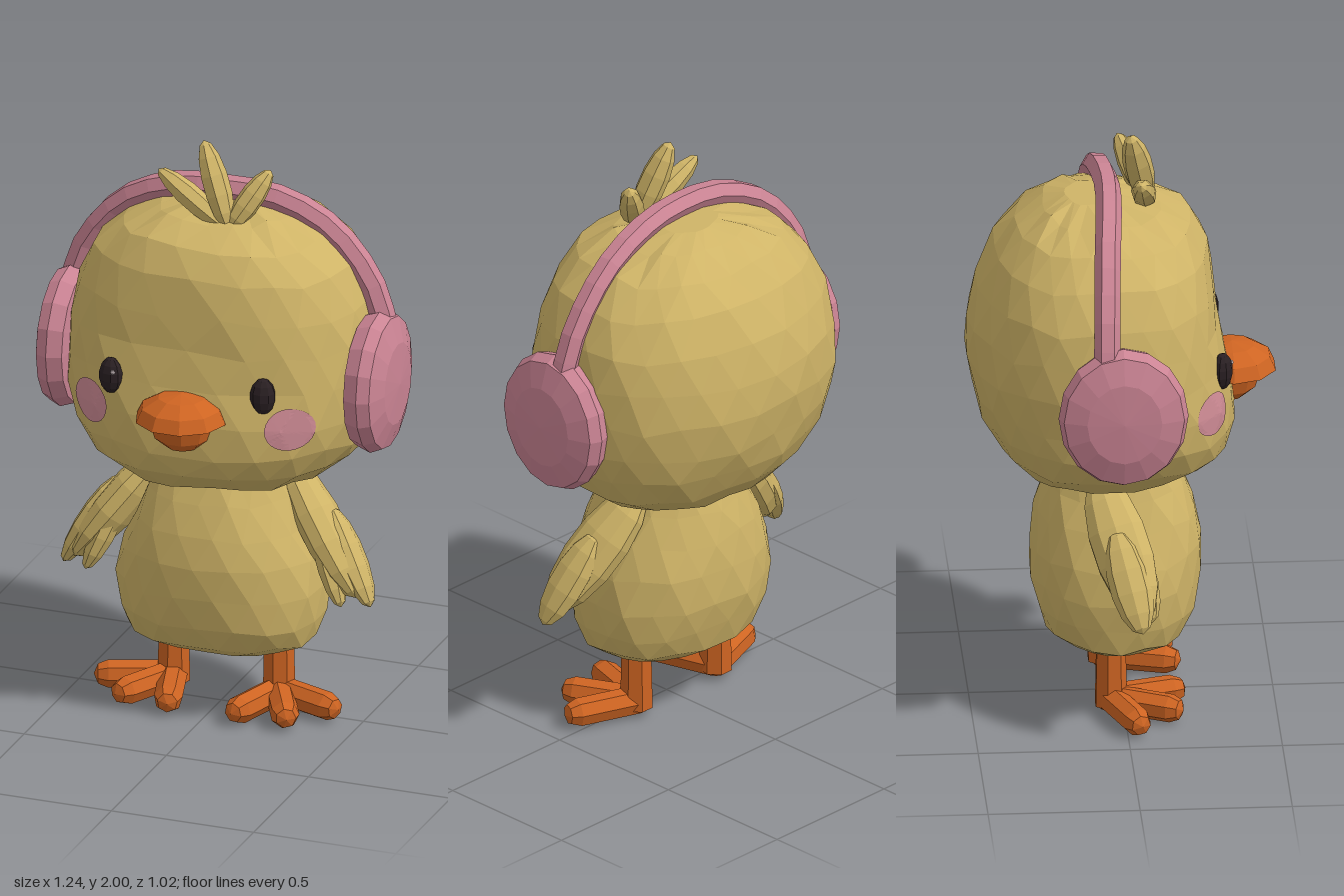
import * as THREE from 'three';

const mat = (name, color) => {
  const m = new THREE.MeshStandardMaterial({ color });
  m.name = name;
  return m;
};

// repeatable noise in -1..1 for the hand-cut facets
const noise = (n) => {
  const s = Math.sin(n * 127.1 + 11.7) * 43758.5453;
  return (s - Math.floor(s)) * 2 - 1;
};

// gives every triangle its own normal
const faceted = (geo) => {
  const g = geo.index ? geo.toNonIndexed() : geo;
  g.computeVertexNormals();
  return g;
};

// rounded body from rings [y, halfWidth, zFront, zBack], with squarer or rounder front and back
function loft(rings, sides, zMid, frontPower, backPower, rough) {
  const pos = [], idx = [];
  rings.forEach(([y, w, zf, zb], i) => {
    for (let j = 0; j < sides; j++) {
      const a = ((j + (i % 2) * 0.5) / sides) * Math.PI * 2;
      const s = Math.sin(a), c = Math.cos(a);
      const e = 2 / (c > 0 ? frontPower : backPower);
      const mid = Math.min(Math.max(zMid, zb * 0.8), zf);
      const depth = c > 0 ? zf - mid : mid - zb;
      const k = i * sides + j;
      const inner = i > 0 && i < rings.length - 1 ? 1 : 0;
      pos.push(
        w * Math.sign(s) * Math.abs(s) ** e + noise(k) * rough,
        y + noise(k + 500) * rough * 2 * inner,
        mid + depth * Math.sign(c) * Math.abs(c) ** e + noise(k + 900) * rough
      );
    }
  });
  for (let i = 0; i < rings.length - 1; i++) {
    for (let j = 0; j < sides; j++) {
      const a = i * sides + j, b = i * sides + (j + 1) % sides;
      const c = a + sides, d = b + sides;
      if (i % 2) idx.push(a, b, d, a, d, c);
      else idx.push(a, b, c, b, d, c);
    }
  }
  // end caps
  const last = (rings.length - 1) * sides, bottom = pos.length / 3;
  for (const r of [rings[0], rings[rings.length - 1]]) pos.push(0, r[0], (r[2] + r[3]) / 2);
  for (let j = 0; j < sides; j++) {
    const n = (j + 1) % sides;
    idx.push(bottom, n, j, bottom + 1, last + j, last + n);
  }
  const g = new THREE.BufferGeometry();
  g.setAttribute('position', new THREE.Float32BufferAttribute(pos, 3));
  g.setIndex(idx);
  return faceted(g);
}

export function createModel() {
  const root = new THREE.Group();
  root.name = 'chick';
  const yellow = mat('yellow down', 0xcfb467);
  const pink = mat('pink muffs', 0xcb8494);
  const orange = mat('orange beak and feet', 0xce6422);
  const dark = mat('dark eyes', 0x2a2023);
  const blush = mat('cheek blush', 0xd08c96);
  const white = mat('eye glint', 0xe8d8dc);

  const add = (name, geo, material, parent = root) => {
    const m = new THREE.Mesh(geo, material);
    m.name = name;
    parent.add(m);
    return m;
  };

  // geometry built along y, laid between two points
  const span = (geo, a, b) => {
    const A = new THREE.Vector3(...a), B = new THREE.Vector3(...b);
    const dir = B.clone().sub(A).normalize();
    const q = new THREE.Quaternion().setFromUnitVectors(new THREE.Vector3(0, 1, 0), dir);
    geo.applyQuaternion(q);
    const c = A.add(B).multiplyScalar(0.5);
    return faceted(geo.translate(c.x, c.y, c.z));
  };
  const dist = (a, b) => Math.hypot(a[0] - b[0], a[1] - b[1], a[2] - b[2]);
  const leaf = (a, b, rx, rz, sides = 9) =>
    span(new THREE.SphereGeometry(1, sides, 7).scale(rx, dist(a, b) / 2, rz), a, b);
  const rod = (a, b, r) => span(new THREE.CapsuleGeometry(r, dist(a, b), 2, 7), a, b);

  // head
  const head = add('head', loft([
    [0.82, 0.2, 0.14, -0.26], [0.86, 0.34, 0.26, -0.34], [0.93, 0.44, 0.345, -0.41],
    [1.02, 0.5, 0.37, -0.46], [1.12, 0.52, 0.365, -0.495], [1.24, 0.53, 0.34, -0.51],
    [1.36, 0.525, 0.32, -0.505], [1.48, 0.5, 0.305, -0.475], [1.6, 0.44, 0.28, -0.42],
    [1.69, 0.35, 0.23, -0.35], [1.75, 0.23, 0.13, -0.26], [1.78, 0.1, 0.0, -0.18],
  ], 22, -0.12, 2.6, 2.1, 0.006), yellow);

  // body
  add('body', loft([
    [0.23, 0.26, 0.15, -0.19], [0.27, 0.325, 0.205, -0.25], [0.35, 0.35, 0.245, -0.285],
    [0.45, 0.352, 0.262, -0.3], [0.56, 0.333, 0.262, -0.303], [0.67, 0.29, 0.245, -0.285],
    [0.77, 0.245, 0.205, -0.255], [0.87, 0.2, 0.16, -0.22],
  ], 18, -0.02, 2.2, 2.2, 0.006), yellow);

  // tuft of three feathers
  const tuft = new THREE.Group();
  tuft.name = 'tuft';
  root.add(tuft);
  const tuftBase = [0.06, 1.72, 0.09];
  add('middleFeather', leaf(tuftBase, [-0.05, 2.0, 0.03], 0.046, 0.05, 7), yellow, tuft);
  add('rightFeather', leaf(tuftBase, [-0.2, 1.885, 0.055], 0.042, 0.042, 7), yellow, tuft);
  add('leftFeather', leaf(tuftBase, [0.175, 1.915, 0.0], 0.042, 0.042, 7), yellow, tuft);

  // beak halves, each flat where they meet
  const half = (rx, ry, rz, up) => {
    const g = new THREE.SphereGeometry(1, 10, 6);
    const p = g.attributes.position;
    for (let i = 0; i < p.count; i++) if (p.getY(i) * up < 0) p.setY(i, p.getY(i) * 0.12);
    return faceted(g.scale(rx, ry, rz));
  };
  add('upperBeak', half(0.155, 0.09, 0.15, 1), orange).position.set(0, 1.148, 0.365);
  add('lowerBeak', half(0.11, 0.095, 0.11, -1), orange).position.set(0, 1.13, 0.35);

  // finds the face surface so the cheeks can hug it
  root.updateMatrixWorld(true);
  const ray = new THREE.Raycaster();
  const faceZ = (x, y) => {
    ray.set(new THREE.Vector3(x, y, 2), new THREE.Vector3(0, 0, -1));
    const hit = ray.intersectObject(head)[0];
    return hit ? hit.point.z : 0;
  };

  for (const s of [-1, 1]) {
    const side = s > 0 ? 'left' : 'right';

    // eye
    const eyeZ = faceZ(s * 0.265, 1.24) + 0.002;
    const eye = add(side + 'Eye', faceted(new THREE.SphereGeometry(1, 9, 7).scale(0.043, 0.063, 0.034)), dark);
    eye.position.set(s * 0.265, 1.245, eyeZ);
    eye.rotation.y = s * 0.3;
    if (s < 0) {
      add('eyeGlint', faceted(new THREE.SphereGeometry(0.008, 6, 4)), white)
        .position.set(-0.247, 1.268, eyeZ + 0.03);
    }

    // cheek
    const disc = new THREE.RingGeometry(0.0001, 0.073, 24, 6);
    const p = disc.attributes.position;
    for (let i = 0; i < p.count; i++) {
      const x = s * 0.35 + p.getX(i), y = 1.13 + p.getY(i);
      p.setXYZ(i, x, y, faceZ(x, y) + 0.006);
    }
    add(side + 'Cheek', faceted(disc), blush);

    // ear muff
    const profile = [[0, 0.48], [0.16, 0.485], [0.225, 0.495], [0.243, 0.545], [0.225, 0.585], [0.14, 0.612], [0, 0.62]];
    const muff = new THREE.LatheGeometry(profile.map((q) => new THREE.Vector2(...q)), 16);
    muff.scale(1, 1, 0.88).rotateZ(-s * Math.PI / 2).translate(0, 1.212, -0.025);
    add(side + 'EarMuff', faceted(muff), pink);

    // wing with two feather tips
    const wing = new THREE.Group();
    wing.name = side + 'Wing';
    root.add(wing);
    add('wingBlade', leaf([s * 0.5, 0.46, 0.05], [s * 0.2, 0.86, -0.09], 0.072, 0.1, 10), yellow, wing);
    add('outerTip', leaf([s * 0.54, 0.43, 0.04], [s * 0.37, 0.73, -0.04], 0.046, 0.07, 8), yellow, wing);
    add('innerTip', leaf([s * 0.45, 0.43, 0.075], [s * 0.33, 0.72, -0.01], 0.042, 0.06, 8), yellow, wing);

    // leg and toes
    const leg = new THREE.Group();
    leg.name = side + 'Leg';
    root.add(leg);
    const ankle = [s * 0.185, 0.05, -0.045];
    add('shin', span(new THREE.CylinderGeometry(0.05, 0.055, 0.24, 7), [s * 0.185, 0.03, -0.045], [s * 0.185, 0.27, -0.045]), orange, leg);
    for (const [x, z] of [[0.125, 0.16], [0.28, 0.145], [0.385, 0.03]]) {
      add('toe', rod(ankle, [s * x, 0.05, z], 0.048), orange, leg);
    }
  }

  // headband
  const path = new THREE.CatmullRomCurve3([
    [-0.56, 1.36, -0.08], [-0.5, 1.54, -0.075], [-0.36, 1.71, -0.065], [-0.18, 1.795, -0.05], [0, 1.81, -0.045],
    [0.18, 1.795, -0.06], [0.36, 1.71, -0.07], [0.5, 1.54, -0.07], [0.56, 1.36, -0.065],
  ].map((q) => new THREE.Vector3(...q)));
  add('headband', faceted(new THREE.TubeGeometry(path, 18, 0.043, 6)), pink);

  return root;
}
